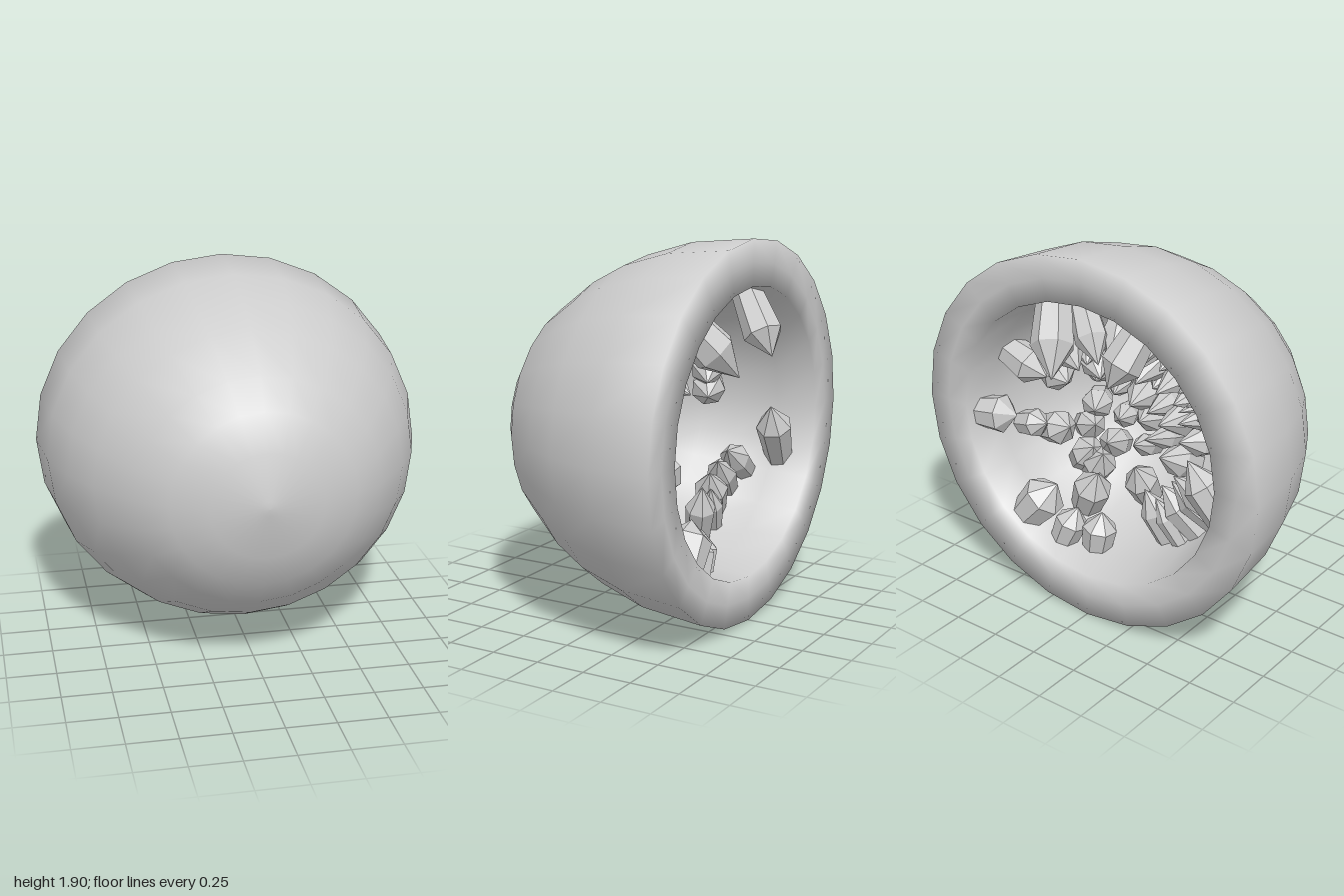
import * as THREE from 'three';

const CY = 0.95, RIM = -0.59, CAVITY_R = 0.76, CAVITY_D = 0.94;

const stone = new THREE.MeshStandardMaterial({ color: 0xcccccc });
stone.name = 'grey stone';

// Depth of the cavity wall at a distance r from the axis
const wallZ = (r) => RIM + CAVITY_D * Math.sqrt(Math.max(0, 1 - (r / CAVITY_R) ** 2));

function seeded(seed) {
  return () => {
    seed = (seed * 16807) % 2147483647;
    return seed / 2147483647;
  };
}

// Half-round shell: cavity wall, flat rim and outside in one smooth profile
function makeShell() {
  const profile = [];
  for (let i = 0; i <= 7; i++) {
    const a = (i / 7) * Math.PI / 2;
    profile.push(new THREE.Vector2(CAVITY_R * Math.sin(a), RIM + CAVITY_D * Math.cos(a)));
  }
  const outside = [[0.88, -0.59], [1, -0.59], [0.965, -0.26], [0.885, -0.01], [0.78, 0.18],
    [0.61, 0.4], [0.46, 0.51], [0.28, 0.59], [0.04, 0.633], [0, 0.635]];
  outside.forEach(([r, z]) => profile.push(new THREE.Vector2(r, z)));
  const geometry = new THREE.LatheGeometry(profile, 24);
  geometry.rotateX(Math.PI / 2);
  geometry.rotateZ(Math.PI / 2);
  geometry.scale(1, 0.95, 1);
  geometry.translate(0, CY, 0);
  const mesh = new THREE.Mesh(geometry, stone);
  mesh.name = 'shell';
  return mesh;
}

// Faceted prism from base to tip; point is the share of the length that tapers
function makeCrystal(base, tip, radius, point, twist) {
  const axis = tip.clone().sub(base);
  const length = axis.length();
  const profile = [[radius * 0.75, -0.06], [radius, length * (1 - point)], [0, length]]
    .map(([r, y]) => new THREE.Vector2(r, y));
  const geometry = new THREE.LatheGeometry(profile, 7).toNonIndexed();
  geometry.computeVertexNormals();
  const mesh = new THREE.Mesh(geometry, stone);
  mesh.quaternion.setFromUnitVectors(new THREE.Vector3(0, 1, 0), axis.normalize());
  mesh.rotateY(twist);
  mesh.position.copy(base);
  mesh.name = 'crystal';
  return mesh;
}

export function createModel() {
  const group = new THREE.Group();
  group.name = 'geode';
  group.add(makeShell());

  const crystals = new THREE.Group();
  crystals.name = 'crystals';
  group.add(crystals);
  const random = seeded(41);
  const at = (x, y, z) => new THREE.Vector3(x, CY + y, z);

  // A crystal on the wall aimed at a point on the axis
  const grow = (x, y, length, radius, point, aimZ) => {
    const base = at(x, y * 0.97, wallZ(Math.hypot(x, y)));
    const tip = at(0, 0, aimZ).sub(base).setLength(length).add(base);
    crystals.add(makeCrystal(base, tip, radius, point, random() * 6));
  };

  // Large single crystals round the sides: x, y, length, radius
  const singles = [
    [0.47, -0.59, 0.26, 0.115], [0.11, -0.73, 0.22, 0.09], [0.27, -0.7, 0.22, 0.085],
    [0.31, -0.62, 0.3, 0.1], [0.37, -0.5, 0.28, 0.09], [0.45, -0.44, 0.26, 0.09],
    [0.75, -0.08, 0.2, 0.1], [0.61, -0.27, 0.24, 0.09], [0.5, -0.28, 0.26, 0.08],
    [0.68, -0.21, 0.2, 0.075], [0.69, 0.23, 0.26, 0.1], [0.57, 0.35, 0.32, 0.1],
    [0.5, 0.17, 0.3, 0.08], [0.64, 0.08, 0.22, 0.09], [0.42, 0.47, 0.34, 0.09],
    [0.06, -0.58, 0.3, 0.09], [-0.22, -0.65, 0.32, 0.08], [-0.4, -0.55, 0.32, 0.09],
    [-0.52, -0.45, 0.32, 0.08], [-0.61, -0.36, 0.34, 0.08], [-0.32, -0.62, 0.28, 0.06],
    [-0.56, 0.27, 0.28, 0.085], [-0.6, 0.13, 0.28, 0.09],
  ];
  singles.forEach(([x, y, length, radius]) => grow(x, y, length, radius, 0.42, -0.35));

  // Long crystals near the rim
  crystals.add(makeCrystal(at(0.34, 0.62, -0.37), at(0.17, 0.31, -0.61), 0.11, 0.4, 0.3));
  crystals.add(makeCrystal(at(-0.26, 0.65, -0.43), at(-0.17, 0.36, -0.615), 0.1, 0.35, 0.8));
  crystals.add(makeCrystal(at(-0.7, -0.26, -0.41), at(-0.51, 0.03, -0.45), 0.095, 0.4, 0.5));

  // Dense bed of slender spikes at the bottom of the cavity
  const count = 32;
  for (let i = 0; i < count; i++) {
    const r = 0.5 * Math.sqrt((i + 0.5) / count);
    const a = i * 2.39996;
    const x = 0.06 + r * Math.cos(a), y = 0.04 + r * Math.sin(a);
    grow(x, y, 0.24 + 0.18 * random(), 0.06 + 0.03 * random(), 0.5, -0.6);
  }
  return group;
}
